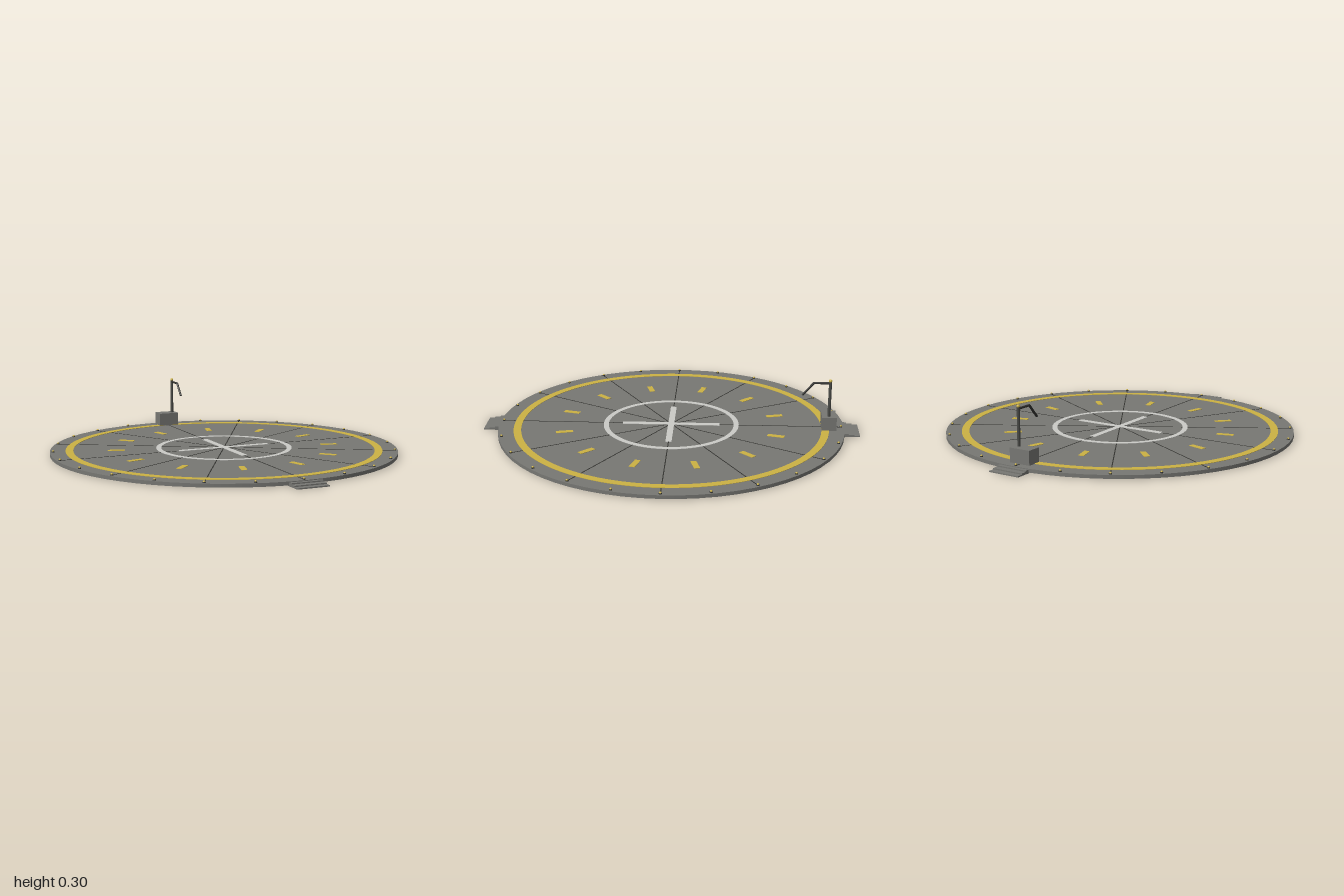
import * as THREE from 'three';

const mat = (name, color, side = THREE.FrontSide) => {
  const m = new THREE.MeshStandardMaterial({ color, side });
  m.name = name;
  return m;
};

export function createModel() {
  const model = new THREE.Group();
  model.name = 'landingPad';
  const concrete = mat('concrete grey', 0x777773);
  const yellow = mat('marking yellow', 0xccb244);
  const white = mat('marking white', 0xcacac6);
  const dark = mat('dark metal', 0x32322f);
  const steel = mat('pole grey', 0x4a4b47);
  const TOP = 0.022;

  const add = (name, geometry, material, x = 0, y = 0, z = 0, parent = model) => {
    const mesh = new THREE.Mesh(geometry, material);
    mesh.name = name;
    mesh.position.set(x, y, z);
    parent.add(mesh);
    return mesh;
  };

  // Flat painted ring lying just above the deck
  const paintRing = (name, inner, outer, material) => {
    const shape = new THREE.Shape().absarc(0, 0, outer, 0, Math.PI * 2);
    shape.holes.push(new THREE.Path().absarc(0, 0, inner, 0, Math.PI * 2, true));
    const geo = new THREE.ExtrudeGeometry(shape, { depth: 0.002, bevelEnabled: false, curveSegments: 64 });
    geo.rotateX(-Math.PI / 2);
    add(name, geo, material, 0, TOP, 0);
  };

  // Round rod between two points
  const rod = (name, a, b, radius, material) => {
    const dir = b.clone().sub(a);
    const mesh = add(name, new THREE.CylinderGeometry(radius, radius, dir.length(), 10), material);
    mesh.position.copy(a).add(b).multiplyScalar(0.5);
    mesh.quaternion.setFromUnitVectors(new THREE.Vector3(0, 1, 0), dir.normalize());
  };

  // Deck
  add('deck', new THREE.CylinderGeometry(0.922, 0.922, 0.018, 64), concrete, 0, TOP - 0.009, 0);

  // Panel seams and dashes, repeated around the centre
  for (let i = 0; i < 12; i++) {
    const seamArm = new THREE.Group();
    seamArm.name = 'deckSegment';
    seamArm.rotation.y = (i * Math.PI) / 6;
    model.add(seamArm);
    add('panelSeam', new THREE.BoxGeometry(0.9, 0.001, 0.005), dark, 0.45, TOP + 0.0005, 0, seamArm);

    const dashArm = new THREE.Group();
    dashArm.name = 'dashSegment';
    dashArm.rotation.y = ((i + 0.5) * Math.PI) / 6;
    model.add(dashArm);
    add('dash', new THREE.BoxGeometry(0.09, 0.002, 0.03), yellow, 0.575, TOP + 0.001, 0, dashArm);
  }

  // Painted rings and centre cross
  paintRing('outerRing', 0.8, 0.84, yellow);
  paintRing('innerRing', 0.335, 0.362, white);
  add('crossBarX', new THREE.BoxGeometry(0.52, 0.002, 0.032), white, 0, TOP + 0.001, 0);
  add('crossBarZ', new THREE.BoxGeometry(0.032, 0.0024, 0.52), white, 0, TOP + 0.0012, 0);

  // Edge lights
  for (let i = 0; i < 24; i++) {
    const a = (i * Math.PI) / 12;
    const x = 0.905 * Math.cos(a), z = 0.905 * Math.sin(a);
    add('lightBase', new THREE.CylinderGeometry(0.007, 0.008, 0.005, 10), dark, x, TOP + 0.0025, z);
    add('lightLens', new THREE.SphereGeometry(0.006, 10, 6, 0, Math.PI * 2, 0, Math.PI / 2), yellow, x, TOP + 0.005, z);
  }

  // Access steps at front and back
  for (const side of [1, -1]) {
    for (let i = 0; i < 3; i++) {
      const h = 0.006 + i * 0.006;
      add('accessStep', new THREE.BoxGeometry(0.17, h, 0.03), concrete, 0, h / 2, side * (0.985 - i * 0.03));
    }
  }

  // Control box with service pole and bent arm
  add('controlBox', new THREE.BoxGeometry(0.115, 0.073, 0.077), concrete, 0, TOP + 0.0365, -0.838);
  const v = (y, z) => new THREE.Vector3(0.033, y, z);
  rod('pole', v(0.095, -0.836), v(0.29, -0.836), 0.008, steel);
  rod('armTop', v(0.279, -0.836), v(0.279, -0.75), 0.006, dark);
  rod('armTip', v(0.28, -0.751), v(0.213, -0.692), 0.006, dark);
  add('armElbow', new THREE.SphereGeometry(0.006, 10, 8), dark, 0.033, 0.279, -0.75);
  add('beacon', new THREE.SphereGeometry(0.009, 12, 8), yellow, 0.033, 0.291, -0.836);

  return model;
}
